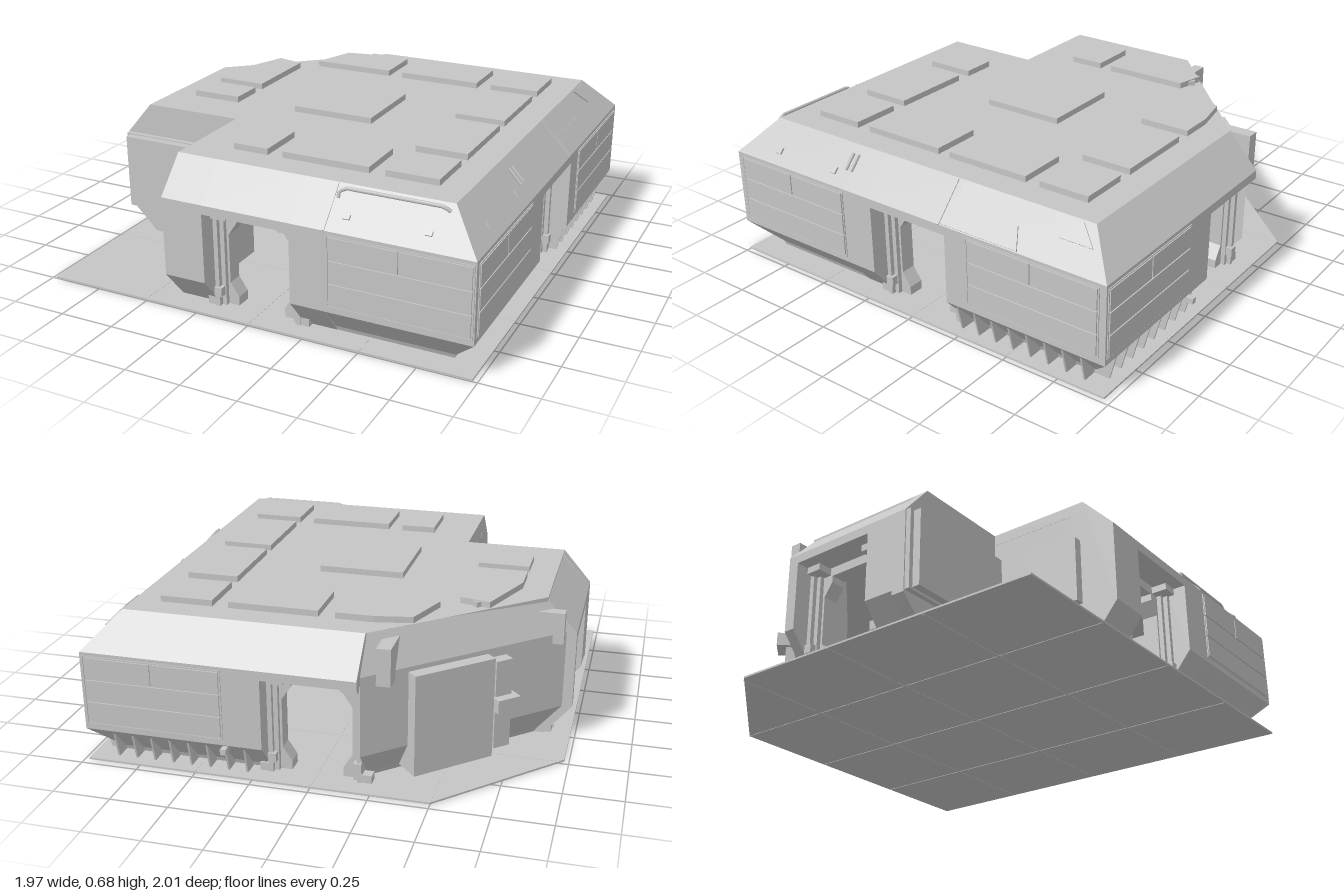
import * as THREE from 'three';

const hull = new THREE.MeshStandardMaterial({ color: 0xc5c5c5 });
hull.name = 'hullGrey';

function add(parent, name, geo) {
  const mesh = new THREE.Mesh(geo, hull);
  mesh.name = name;
  parent.add(mesh);
  return mesh;
}
// box given by its limits on each axis
function box(parent, name, x0, x1, y0, y1, z0, z1) {
  const m = add(parent, name, new THREE.BoxGeometry(x1 - x0, y1 - y0, z1 - z0));
  m.position.set((x0 + x1) / 2, (y0 + y1) / 2, (z0 + z1) / 2);
  return m;
}
const shape = pts => new THREE.Shape(pts.map(p => new THREE.Vector2(p[0], p[1])));
const extrude = (s, depth) => new THREE.ExtrudeGeometry(s, { depth, bevelEnabled: false });
// horizontal slab from an outline of [x, z] points
function slab(parent, name, pts, y0, y1) {
  const g = extrude(shape(pts.map(([x, z]) => [x, -z])), y1 - y0);
  g.rotateX(-Math.PI / 2).translate(0, y0, 0);
  return add(parent, name, g);
}

// wall sections as [depth inward, height]
const MODULE = [[0.12, 0.005], [0.11, 0.03], [0, 0.15], [0, 0.5], [0.14, 0.65], [0.2, 0.62], [0.2, 0.005]];
const PILLAR = [[0.12, 0.005], [0, 0.15], [0, 0.5], [0.14, 0.65], [0.2, 0.62], [0.2, 0.005]];
const CORNER = [[0.08, 0.005], [0.07, 0.03], [0, 0.15], [0, 0.5], [0.067, 0.65], [0.2, 0.62], [0.2, 0.005]];
const LINTEL = [[0, 0.46], [0, 0.5], [0.14, 0.65], [0.2, 0.62], [0.2, 0.46]];
const TILT = Math.atan2(0.14, 0.15);

// sweep a section from a0 to a1, each end mitred by m per unit of depth
function wall(parent, name, section, a0, a1, m0 = 0, m1 = 0) {
  const g = extrude(shape(section), 1);
  const p = g.attributes.position;
  for (let i = 0; i < p.count; i++) {
    const d = p.getX(i), t = p.getZ(i);
    p.setXYZ(i, t > 0.5 ? a1 - m1 * d : a0 + m0 * d, p.getY(i), -d);
  }
  g.computeVertexNormals();
  add(parent, name, g);
}

// group whose local +z looks out of the building
function side(parent, name, x, z, angle) {
  const g = new THREE.Group();
  g.name = name;
  g.position.set(x, 0, z);
  g.rotation.y = angle;
  parent.add(g);
  return g;
}

// four cladding tiles inside a raised frame
function cladding(g, a0, a1) {
  const mid = (a0 + a1) / 2, e = 0.009;
  const bar = (l, r, b, t) => box(g, 'claddingFrame', l, r, b, t, -0.002, 0.004);
  bar(a0, a1, 0.175, 0.18);
  bar(a0, a1, 0.48, 0.485);
  bar(a0, a0 + 0.005, 0.18, 0.48);
  bar(a1 - 0.005, a1, 0.18, 0.48);
  const tile = (l, r, row) =>
    box(g, 'claddingTile', l, r, 0.183 + row * 0.1, 0.277 + row * 0.1, -0.002, 0.006);
  tile(a0 + e, a1 - e, 0);
  tile(a0 + e, a1 - e, 1);
  tile(a0 + e, mid - 0.003, 2);
  tile(mid + 0.003, a1 - e, 2);
}

// triangular brackets below an overhang
function brackets(g, a0, a1, n) {
  for (let i = 0; i < n; i++) {
    const s = shape([[-0.05, 0.01], [-0.13, 0.01], [-0.13, 0.15], [-0.015, 0.15]]);
    const b = add(g, 'footBracket', extrude(s, 0.008));
    b.rotation.y = -Math.PI / 2;
    b.position.x = a0 + (a1 - a0) * i / (n - 1);
  }
}

// doorway: lintel, stepped jambs and an eight sided portal
function doorway(g) {
  wall(g, 'doorLintel', LINTEL, -0.2, 0.2);
  const half = [[0.11, 0.005], [0.11, 0.05], [0.15, 0.11], [0.15, 0.33], [0.11, 0.39], [0.11, 0.42]];
  const portal = shape([...half, ...half.map(([x, y]) => [-x, y]).reverse(),
    [-0.2, 0.005], [-0.2, 0.46], [0.2, 0.46], [0.2, 0.005]]);
  add(g, 'doorPortal', extrude(portal, 0.07)).position.z = -0.19;
  for (const s of [-1, 1]) {
    const jamb = (name, a, b, y0, y1, z0, z1) =>
      box(g, name, Math.min(s * a, s * b), Math.max(s * a, s * b), y0, y1, z0, z1);
    jamb('doorJambOuter', 0.18, 0.2, 0.01, 0.46, -0.14, -0.08);
    jamb('doorJambInner', 0.16, 0.18, 0.01, 0.43, -0.14, -0.1);
    jamb('doorLatchLow', 0.165, 0.2, 0.06, 0.1, -0.12, -0.07);
    jamb('doorLatchHigh', 0.12, 0.19, 0.425, 0.455, -0.13, -0.05);
    jamb('doorFoot', 0.2, 0.24, 0.01, 0.045, -0.13, -0.085);
  }
}

// thin plate lying on the sloped roof edge, points as [along, up the slope]
function slopePlate(g, name, pts, thick = 0.006) {
  const m = add(g, name, extrude(shape(pts), thick));
  m.position.y = 0.5;
  m.rotation.x = -TILT;
}
const rect = (a, b, c, d) => [[a, c], [b, c], [b, d], [a, d]];

// grab rail on the sloped roof edge
function rail(g, pts) {
  const path = new THREE.CurvePath();
  const v = pts.map(p => new THREE.Vector3(...p));
  for (let i = 1; i < v.length; i++) path.add(new THREE.LineCurve3(v[i - 1], v[i]));
  const m = add(g, 'grabRail', new THREE.TubeGeometry(path, 24, 0.008, 6));
  m.position.y = 0.5;
  m.rotation.x = -TILT;
}

export function createModel() {
  const model = new THREE.Group();
  model.name = 'modularBuilding';

  // base plate and its joints
  slab(model, 'basePlate', [[-0.98, 1], [0.98, 1], [0.98, -0.97], [-0.5, -0.97], [-0.98, -0.48]], 0.002, 0.01);
  for (const k of [-0.5, 0, 0.5]) {
    box(model, 'baseJoint', k - 0.004, k + 0.004, 0, 0.011, -0.965, 0.995);
    box(model, 'baseJoint', k < 0 ? -0.96 : -0.975, 0.975, 0, 0.011, k - 0.004, k + 0.004);
  }

  // roof deck and raised roof panels
  slab(model, 'roofDeck', [[-0.85, 0.4], [-0.39, 0.4], [-0.39, 0.86], [0.84, 0.86], [0.84, -0.83],
    [-0.2, -0.83], [-0.85, -0.25]], 0.6, 0.65);
  const panels = [[0.03, 0.42, -0.71, -0.48], [0.49, 0.72, -0.71, -0.48], [0.49, 0.72, -0.41, -0.02],
    [0.49, 0.72, 0.04, 0.43], [0.49, 0.72, 0.5, 0.73], [0.03, 0.42, 0.5, 0.73], [-0.2, -0.04, 0.5, 0.73],
    [-0.73, -0.5, 0.04, 0.2], [-0.2, 0.18, -0.18, 0.2]];
  for (const [x0, x1, z0, z1] of panels) box(model, 'roofPanel', x0, x1, 0.64, 0.677, z0, z1);
  slab(model, 'roofPanelAngled', [[-0.43, -0.48], [-0.36, -0.68], [-0.2, -0.71], [-0.04, -0.71], [-0.04, -0.48]], 0.64, 0.677);
  slab(model, 'roofPanelAngled', [[-0.73, -0.02], [-0.73, -0.17], [-0.63, -0.44], [-0.5, -0.41], [-0.5, -0.02]], 0.64, 0.677);

  // front wall
  const front = side(model, 'frontWall', 0, 1, 0);
  wall(front, 'frontPillar', PILLAR, -0.39, -0.2);
  wall(front, 'frontPillar', PILLAR, 0.2, 0.352);
  wall(front, 'frontCorner', MODULE, 0.352, 0.98, 0, 1);
  doorway(front);
  cladding(front, 0.365, 0.975);
  slopePlate(front, 'slopeJoint', rect(0.348, 0.356, 0, 0.2), 0.004);
  rail(front, [[0.37, 0.14, 0], [0.37, 0.165, 0.012], [0.4, 0.18, 0.015], [0.8, 0.18, 0.015], [0.83, 0.17, 0]]);
  for (const x of [0.43, 0.77]) slopePlate(front, 'slopeBracket', rect(x - 0.015, x + 0.015, 0.06, 0.08), 0.008);

  // right wall
  const right = side(model, 'sideWall', 0.98, 0, Math.PI / 2);
  wall(right, 'sideCornerFront', MODULE, -1, -0.352, 1, 0);
  wall(right, 'sidePillar', PILLAR, -0.352, -0.2);
  wall(right, 'sideCornerBack', MODULE, 0.2, 0.97, 0, 1);
  doorway(right);
  cladding(right, -0.975, -0.355);
  cladding(right, 0.31, 0.94);
  brackets(right, 0.24, 0.85, 8);
  slopePlate(right, 'slopeJoint', rect(0.168, 0.175, 0, 0.2), 0.004);
  slopePlate(right, 'slopePanel', [[0.18, 0.005], [0.56, 0.005], [0.52, 0.1], [0.18, 0.11]]);
  slopePlate(right, 'slopePanel', [[0.71, 0.11], [0.86, 0.11], [0.78, 0.195], [0.65, 0.195]]);
  for (const s of [-0.44, -0.77]) slopePlate(right, 'slopeBracket', rect(s - 0.015, s + 0.015, 0.05, 0.08), 0.008);
  for (const s of [-0.375, -0.345]) rail(right, [[s, 0.08, 0.01], [s, 0.16, 0.01]]);

  // back wall
  const back = side(model, 'backWall', 0, -0.97, Math.PI);
  wall(back, 'backCorner', MODULE, -0.98, -0.2, 1, 0);
  doorway(back);
  cladding(back, -0.97, -0.365);
  brackets(back, -0.86, -0.28, 8);
  box(back, 'backFitting', -0.37, -0.345, 0.12, 0.145, -0.02, 0.03);
  box(back, 'bayConduit', 0.26, 0.32, 0.46, 0.62, -0.22, -0.07);

  // left wall
  const left = side(model, 'leftWall', -0.98, 0, -Math.PI / 2);
  wall(left, 'leftPillar', PILLAR, -0.25, -0.2);
  wall(left, 'leftPillar', PILLAR, 0.2, 0.4);
  doorway(left);
  box(left, 'bayConduit', -0.3, -0.25, 0.46, 0.6, -0.16, -0.05);

  // cut corner with service hatch
  const corner = side(model, 'cutCorner', -0.57, -0.588, Math.atan2(-0.72, -0.78));
  wall(corner, 'cutCornerWall', CORNER, -0.5, 0.5, 1, 1);
  box(corner, 'serviceHatch', -0.28, 0.1, 0.03, 0.48, -0.08, 0.055);
  box(corner, 'hatchColumn', 0.11, 0.19, 0.06, 0.46, -0.08, 0.05);
  box(corner, 'hatchClamp', 0.1, 0.21, 0.24, 0.3, -0.06, 0.09);
  box(corner, 'hatchHinge', 0.1, 0.14, 0.64, 0.672, -0.14, -0.1);

  // recessed yard: end wall with a thick panel, side wall with a hatch
  const end = extrude(shape([[-0.85, 0.005], [-0.39, 0.005], [-0.39, 0.65], [-0.85, 0.65], [-0.98, 0.5], [-0.98, 0.13]]), 0.06);
  add(model, 'yardWall', end).position.z = 0.342;
  box(model, 'yardWallFrame', -0.975, -0.39, 0.14, 0.5, 0.4, 0.425);
  box(model, 'yardWallPanel', -0.955, -0.42, 0.15, 0.495, 0.42, 0.46);
  box(model, 'yardSideWall', -0.389, -0.32, 0.005, 0.62, 0.4, 0.86);
  box(model, 'yardHatch', -0.43, -0.385, 0.18, 0.47, 0.61, 0.84);
  return model;
}
